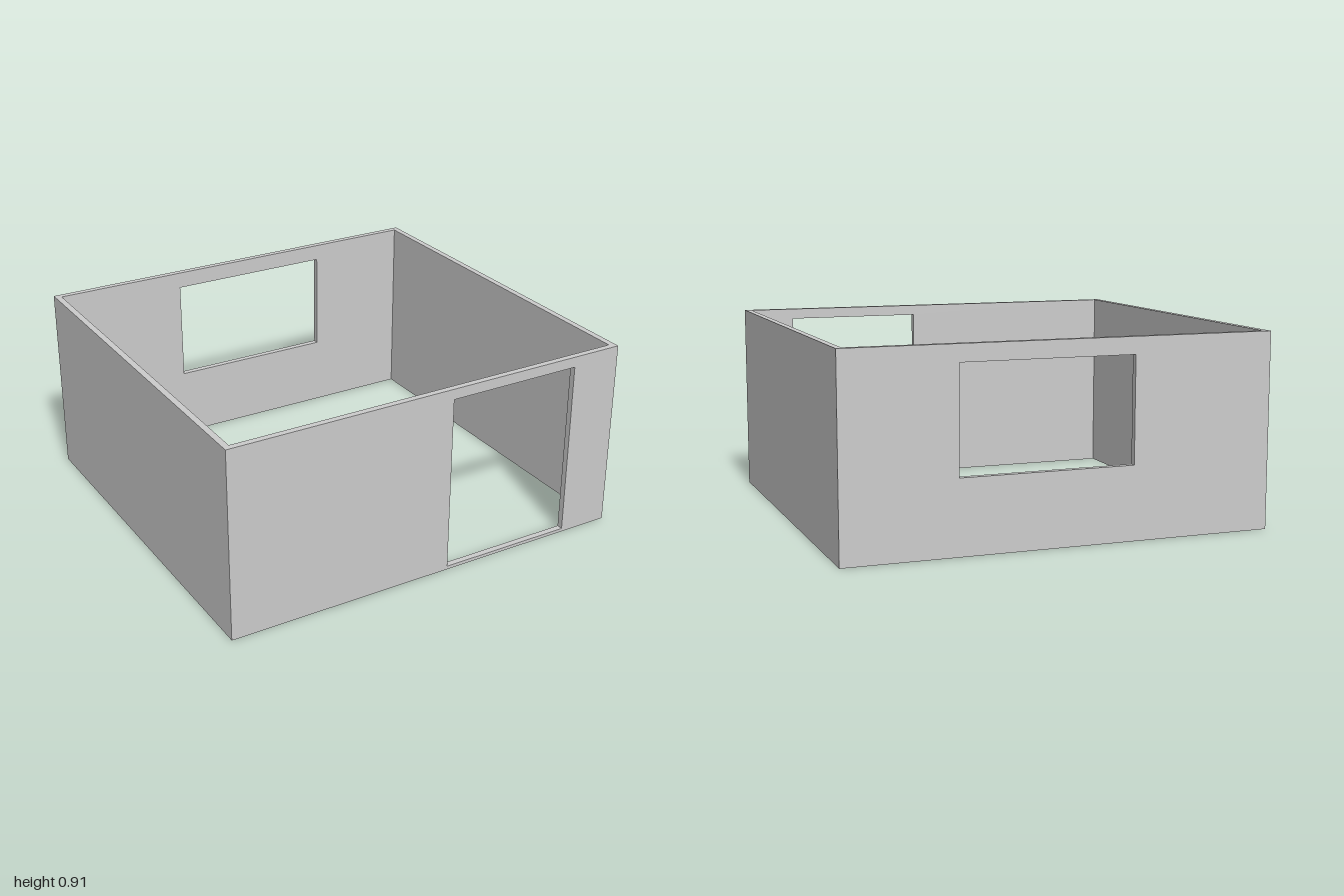
import * as THREE from 'three';

const HALF_X = 1, HALF_Z = 0.933, HEIGHT = 0.908, THICK = 0.03;

const material = new THREE.MeshStandardMaterial({ color: 0xcccccc, flatShading: true });

function rectangle(PathType, x0, x1, y0, y1) {
  const path = new PathType();
  path.moveTo(x0, y0);
  path.lineTo(x1, y0);
  path.lineTo(x1, y1);
  path.lineTo(x0, y1);
  path.closePath();
  return path;
}

// Upright wall whose outer face lies on z = 0, with an optional opening [x0, x1, y0, y1]
function makeWall(name, half, opening) {
  const shape = rectangle(THREE.Shape, -half, half, 0, HEIGHT);
  if (opening) shape.holes.push(rectangle(THREE.Path, ...opening));
  const geometry = new THREE.ExtrudeGeometry(shape, { depth: THICK, bevelEnabled: false });
  geometry.translate(0, 0, -THICK);

  // Mitre both ends so that neighbouring walls meet at the corner diagonal
  const p = geometry.attributes.position;
  for (let i = 0; i < p.count; i++) {
    const x = p.getX(i);
    if (Math.abs(x) > half - 1e-4) p.setX(i, x + Math.sign(x) * p.getZ(i));
  }
  geometry.computeVertexNormals();

  const wall = new THREE.Mesh(geometry, material);
  wall.name = name;
  return wall;
}

export function createModel() {
  const room = new THREE.Group();
  room.name = 'room';

  // Front wall with doorway
  const front = makeWall('frontWall', HALF_X, [0.097, 0.754, 0.016, 0.858]);
  front.position.z = HALF_Z;

  // Back wall with window (turned round, so its x runs the other way)
  const back = makeWall('backWall', HALF_X, [-0.476, 0.333, 0.342, 0.829]);
  back.rotation.y = Math.PI;
  back.position.z = -HALF_Z;

  room.add(front, back);

  // Plain side walls
  for (const [name, side] of [['leftWall', 1], ['rightWall', -1]]) {
    const wall = makeWall(name, HALF_Z);
    wall.rotation.y = side * Math.PI / 2;
    wall.position.x = side * HALF_X;
    room.add(wall);
  }
  return room;
}
